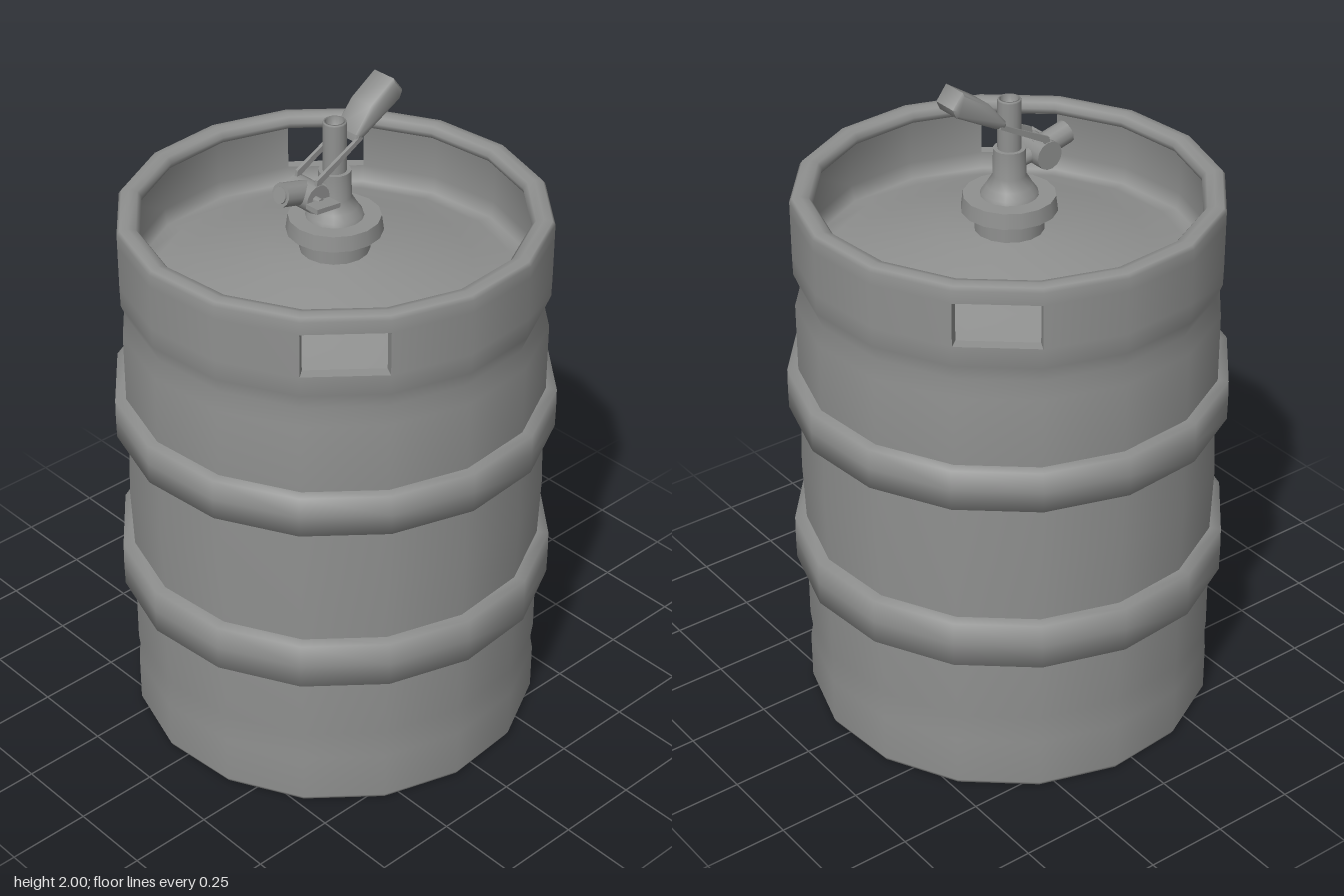
import * as THREE from 'three';
import { toCreasedNormals } from 'three/addons/utils/BufferGeometryUtils.js';

const SIDES = 16;
const START = THREE.MathUtils.degToRad(16.2);
const steel = () => new THREE.MeshStandardMaterial({ color: 0x8f908f });
const pts = (list) => list.map(([x, y]) => new THREE.Vector2(x, y));

function add(group, name, geometry, position = [0, 0, 0], rotation = [0, 0, 0]) {
  const mesh = new THREE.Mesh(geometry, steel());
  mesh.name = name;
  mesh.position.set(...position);
  mesh.rotation.set(...rotation);
  group.add(mesh);
  return mesh;
}

// Outline drawn in (z, y), given a width across x
function sidePlate(outline, width, bevel = 0) {
  const geo = new THREE.ExtrudeGeometry(new THREE.Shape(pts(outline)), {
    depth: width - 2 * bevel, bevelEnabled: bevel > 0, bevelThickness: bevel,
    bevelSize: bevel, bevelOffset: -bevel, bevelSegments: 1,
  });
  geo.rotateY(-Math.PI / 2);
  return toCreasedNormals(geo.translate(width / 2 - bevel, 0, 0), 0.9);
}

// Round bar between two points
function bar(group, name, from, to, r, sides = 12) {
  const a = new THREE.Vector3(...from), b = new THREE.Vector3(...to);
  const mesh = add(group, name, new THREE.CylinderGeometry(r, r, a.distanceTo(b), sides));
  mesh.position.copy(a).add(b).multiplyScalar(0.5);
  mesh.quaternion.setFromUnitVectors(new THREE.Vector3(0, 1, 0), b.sub(a).normalize());
}

function buildBarrel(group) {
  // One closed profile: underside, foot skirt, outer wall, rolled rim, lid
  const profile = pts([
    [0, 0.16], [0.3, 0.175], [0.5, 0.205], [0.575, 0.23],
    [0.58, 0.07], [0.556, 0.03], [0.556, 0.012], [0.575, 0],
    [0.609, 0], [0.615, 0.012],
    [0.615, 0.16], [0.608, 0.2], [0.614, 0.25], [0.613, 0.46],
    [0.61, 0.6], [0.617, 0.79], [0.61, 0.99],
    [0.613, 1.11], [0.613, 1.32], [0.594, 1.37], [0.614, 1.42],
    [0.615, 1.48], [0.615, 1.61], [0.615, 1.647], [0.607, 1.658], [0.583, 1.662],
    [0.561, 1.656], [0.549, 1.64], [0.556, 1.622], [0.58, 1.61],
    [0.58, 1.48], [0.572, 1.43], [0.52, 1.435], [0.4, 1.465], [0.2, 1.515], [0, 1.535],
  ]);
  const geo = new THREE.LatheGeometry(profile, SIDES, START);
  const n = profile.length;
  const row = (r, y) => profile.findIndex((p) => p.x === r && p.y === y);
  const outer = [row(0.615, 1.48), row(0.615, 1.61)];
  const inner = [row(0.58, 1.48), row(0.58, 1.61)];

  // Hand holes: drop one wall panel, outside and inside, on two opposite sides
  const holes = [1, 1 + SIDES / 2];
  const index = [...geo.index.array].filter((_, k) => {
    const quad = Math.floor(k / 6), seg = Math.floor(quad / (n - 1)), j = quad % (n - 1);
    return !(holes.includes(seg) && (j === outer[0] || j === inner[1]));
  });
  geo.setIndex(index);
  add(group, 'barrel', geo);

  // Linings that join the outer and inner edges of each hole
  for (const seg of holes) {
    const at = (col, j) => new THREE.Vector3().fromBufferAttribute(geo.attributes.position, col * n + j);
    const loop = ([lo, hi]) => [at(seg, lo), at(seg + 1, lo), at(seg + 1, hi), at(seg, hi)];
    const a = loop(outer), b = loop(inner), corners = [];
    for (let i = 0; i < 4; i++) {
      const k = (i + 1) % 4;
      corners.push(a[i], a[k], b[k], a[i], b[k], b[i]);
    }
    const lining = new THREE.BufferGeometry().setFromPoints(corners);
    lining.computeVertexNormals();
    add(group, 'handHoleLining', lining).material.side = THREE.DoubleSide;
  }

  // Two rolling hoops, softly shaded over a square section
  for (const [lo, hi] of [[0.457, 0.6], [0.985, 1.11]]) {
    const hoop = pts([[0.6, lo], [0.645, lo], [0.646, (lo + hi) / 2], [0.645, hi], [0.6, hi]]);
    add(group, 'rollingHoop', new THREE.LatheGeometry(hoop, SIDES, START));
  }
}

function buildTap(group) {
  // Neck, collar and flared coupler body
  add(group, 'neck', new THREE.CylinderGeometry(0.1, 0.1, 0.09, 16), [0, 1.55, 0]);
  add(group, 'collar', new THREE.CylinderGeometry(0.132, 0.138, 0.045, 16), [0, 1.608, 0]);
  add(group, 'couplerBody', new THREE.LatheGeometry(pts([
    [0.085, 1.625], [0.08, 1.64], [0.066, 1.66], [0.048, 1.69], [0.046, 1.77]]), 16));
  add(group, 'couplerTop', new THREE.CylinderGeometry(0.046, 0.046, 0.01, 16), [0, 1.766, 0]);

  // Upright stem with an open end
  add(group, 'stem', new THREE.LatheGeometry(pts([
    [0.034, 1.76], [0.034, 1.915], [0.032, 1.92], [0.026, 1.92], [0.025, 1.88], [0, 1.88]]), 16));

  // Side outlet, valve and spout
  bar(group, 'outletPipe', [0, 1.72, 0.02], [0, 1.733, 0.1], 0.022);
  bar(group, 'valve', [-0.048, 1.733, 0.105], [0.048, 1.733, 0.105], 0.042, 14);
  bar(group, 'spout', [0, 1.736, 0.09], [0, 1.764, 0.2], 0.034);
  bar(group, 'spoutOpening', [0, 1.763, 0.198], [0, 1.765, 0.204], 0.024);

  // Small wing lever on the valve
  bar(group, 'valvePin', [0.04, 1.737, 0.115], [0.07, 1.737, 0.115], 0.012, 8);
  add(group, 'valveLever', new THREE.BoxGeometry(0.046, 0.014, 0.085), [0.086, 1.737, 0.122], [-0.1, 0, 0]);

  // Forked arms leading to the grip
  for (const side of [-1, 1]) {
    const arm = sidePlate([[0.115, 1.735], [0.105, 1.79], [-0.06, 1.872], [-0.065, 1.86],
      [0.09, 1.776], [0.095, 1.735]], 0.01);
    add(group, 'handleArm', arm, [side * 0.04, 0, 0]);
  }
  add(group, 'handleGrip', sidePlate([[-0.04, 1.855], [-0.075, 1.862], [-0.207, 1.932],
    [-0.218, 1.957], [-0.185, 2.0], [-0.1, 1.945], [-0.042, 1.877]], 0.09, 0.007));
}

export function createModel() {
  const model = new THREE.Group();
  model.name = 'keg';
  const barrel = new THREE.Group();
  barrel.name = 'barrelAssembly';
  buildBarrel(barrel);
  const tap = new THREE.Group();
  tap.name = 'tapAssembly';
  buildTap(tap);
  model.add(barrel, tap);
  return model;
}
